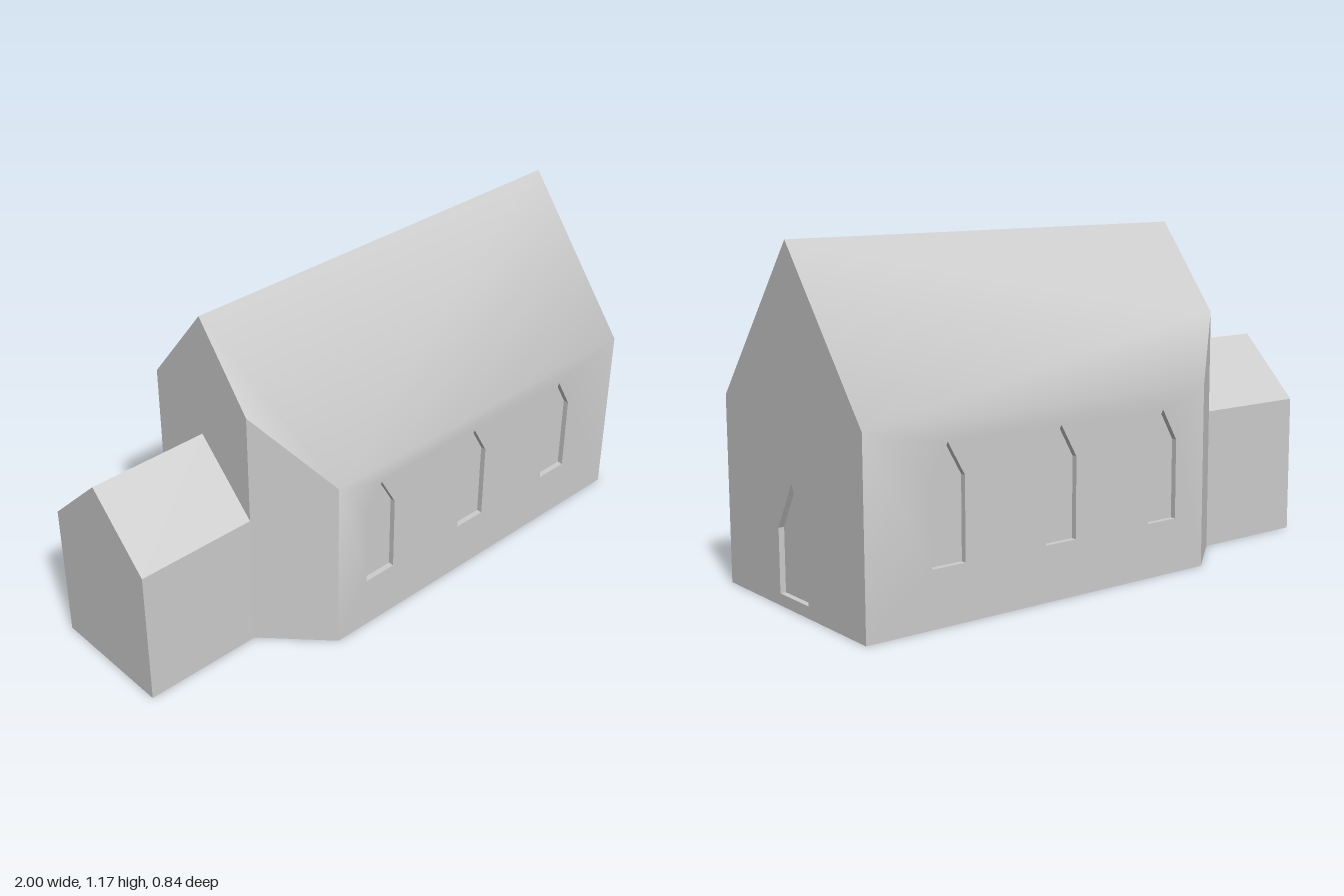
import * as THREE from 'three';
import { mergeGeometries, toCreasedNormals } from 'three/addons/utils/BufferGeometryUtils.js';

const EAVE = 0.64, RIDGE = 1.17, HALF = 0.42;   // nave cross-section
const WEST = -0.57, CUT = -0.37, EAST = 1;      // nave ends and start of the cut corners
const Z_FRONT = 0.215, Z_BACK = 0.245;          // half widths left at the west gable
const DEPTH = 0.02;                             // recess of windows and door
const CREASE = THREE.MathUtils.degToRad(39.5);

// Flat convex polygon from [x, y, z] corners, counter-clockwise from outside
function polygon(points, flip = false) {
  const p = flip ? [...points].reverse() : points;
  const pos = [];
  for (let i = 1; i < p.length - 1; i++) pos.push(...p[0], ...p[i], ...p[i + 1]);
  const g = new THREE.BufferGeometry();
  g.setAttribute('position', new THREE.Float32BufferAttribute(pos, 3));
  return g;
}

const toShape = (pts) => new THREE.Shape(pts.map(([x, y]) => new THREE.Vector2(x, y)));

function flatShape(shape) {
  const g = new THREE.ShapeGeometry(shape).toNonIndexed();
  g.deleteAttribute('uv');
  g.deleteAttribute('normal');
  return g;
}

// Pointed opening, counter-clockwise
const pointed = (cx, half, bottom, shoulder, top) => [
  [cx - half, bottom], [cx + half, bottom], [cx + half, shoulder], [cx, top], [cx - half, shoulder],
];

// Wall with pointed holes
function wall(outline, openings) {
  const shape = toShape(outline);
  shape.holes = openings.map(toShape);
  return flatShape(shape);
}

// Reveals and back panel of one opening
function recess(pts) {
  const parts = pts.map((a, i) => {
    const b = pts[(i + 1) % pts.length];
    return polygon([[...a, 0], [...b, 0], [...b, -DEPTH], [...a, -DEPTH]]);
  });
  parts.push(flatShape(toShape(pts)).translate(0, 0, -DEPTH));
  const g = mergeGeometries(parts);
  g.computeVertexNormals();
  return g;
}

export function createModel() {
  const group = new THREE.Group();
  const stone = new THREE.MeshStandardMaterial({ color: 0xcccccc });
  stone.name = 'pale grey stone';
  const add = (name, geometry) => {
    const mesh = new THREE.Mesh(geometry, stone);
    mesh.name = name;
    group.add(mesh);
  };
  const roofY = (z) => RIDGE - (RIDGE - EAVE) * z / HALF;
  const shell = [];

  // Long walls, roof slopes and cut corners on both sides
  for (const s of [1, -1]) {
    const zc = s > 0 ? Z_FRONT : Z_BACK, yc = roofY(zc);
    const place = (g) => g.rotateY(s > 0 ? 0 : Math.PI).translate(0, 0, s * HALF);
    const [a, b] = s > 0 ? [CUT, EAST] : [-EAST, -CUT];
    const windows = [-0.18, 0.26, 0.70].map((x) => pointed(s * x, 0.062, 0.19, 0.465, 0.575));
    shell.push(place(wall([[a, 0], [b, 0], [b, EAVE], [a, EAVE]], windows)));
    windows.forEach((w) => add(s > 0 ? 'frontWindow' : 'backWindow', place(recess(w))));

    shell.push(polygon([
      [CUT, EAVE, s * HALF], [EAST, EAVE, s * HALF], [EAST, RIDGE, 0],
      [WEST, RIDGE, 0], [WEST, yc, s * zc],
    ], s < 0));
    shell.push(polygon([
      [WEST, 0, s * zc], [CUT, 0, s * HALF], [CUT, EAVE, s * HALF], [WEST, yc, s * zc],
    ], s < 0));
  }

  // East gable with the door
  const door = pointed(0, 0.089, 0.04, 0.255, 0.413);
  const toEast = (g) => g.rotateY(Math.PI / 2).translate(EAST, 0, 0);
  shell.push(toEast(wall(
    [[-HALF, 0], [HALF, 0], [HALF, EAVE], [0, RIDGE], [-HALF, EAVE]], [door])));
  add('door', toEast(recess(door)));

  // West gable and floor
  shell.push(polygon([
    [WEST, 0, -Z_BACK], [WEST, 0, Z_FRONT], [WEST, roofY(Z_FRONT), Z_FRONT],
    [WEST, RIDGE, 0], [WEST, roofY(Z_BACK), -Z_BACK],
  ]));
  shell.push(polygon([
    [WEST, 0, -Z_BACK], [CUT, 0, -HALF], [EAST, 0, -HALF],
    [EAST, 0, HALF], [CUT, 0, HALF], [WEST, 0, Z_FRONT],
  ]));
  add('nave', toCreasedNormals(mergeGeometries(shell), CREASE));

  // Small gabled annex at the west end
  const annex = new THREE.ExtrudeGeometry(
    toShape([[-Z_FRONT, 0], [Z_BACK, 0], [Z_BACK, 0.5], [0.015, 0.725], [-Z_FRONT, 0.5]]),
    { depth: WEST + 1, bevelEnabled: false });
  add('annex', annex.rotateY(Math.PI / 2).translate(-1, 0, 0));

  return group;
}
